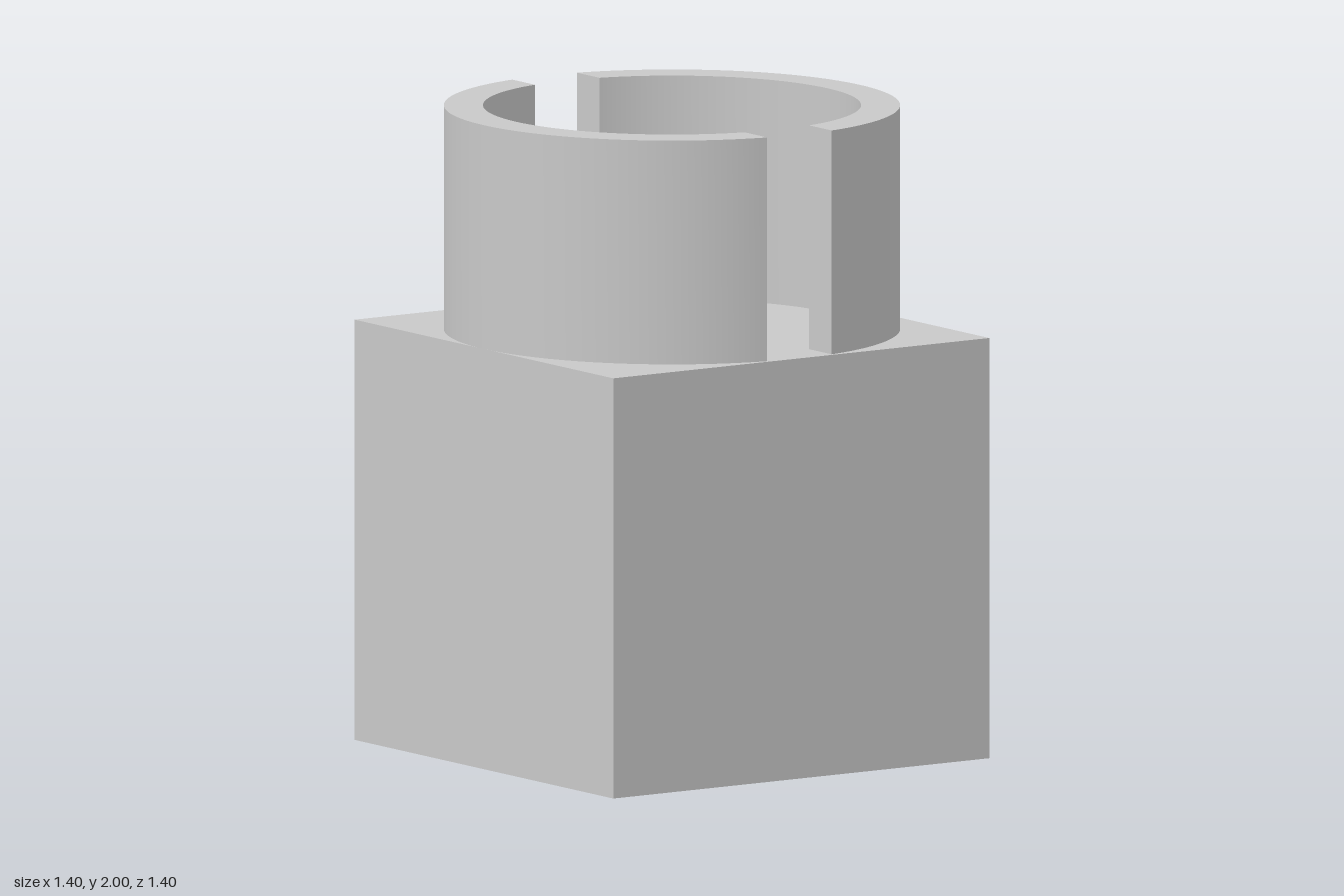
import * as THREE from 'three';
import { toCreasedNormals } from 'three/addons/utils/BufferGeometryUtils.js';

const HALF = 0.7;      // half width of the block, and outer radius of the collar
const INNER = 0.58;    // inner radius of the collar
const SLOT = 0.12;     // half width of the slots
const DEPTH = 0.17;    // depth of the rear groove
const BLOCK_TOP = 1.305;
const TOP = 2;

export function createModel() {
  const model = new THREE.Group();
  const grey = new THREE.MeshStandardMaterial({ color: 0xc8c8c8 });
  grey.name = 'light grey';
  grey.side = THREE.DoubleSide;

  const add = (name, geometry, y = 0) => {
    const mesh = new THREE.Mesh(geometry, grey);
    mesh.name = name;
    mesh.position.y = y;
    model.add(mesh);
    return mesh;
  };
  // Plan shapes are drawn with the back at +y, then laid flat.
  const extrudeUp = (shape, height) => toCreasedNormals(
    new THREE.ExtrudeGeometry(shape, { depth: height, bevelEnabled: false, curveSegments: 64 })
      .rotateX(-Math.PI / 2), 0.5);
  const flat = (shape) => new THREE.ShapeGeometry(shape, 24).rotateX(-Math.PI / 2);
  const polygon = (points) => new THREE.Shape(points.map(([x, y]) => new THREE.Vector2(x, y)));

  // Square block with a vertical groove in its back
  const block = polygon([
    [-HALF, -HALF], [HALF, -HALF], [HALF, HALF], [SLOT, HALF],
    [SLOT, HALF - DEPTH], [-SLOT, HALF - DEPTH], [-SLOT, HALF], [-HALF, HALF],
  ]);
  add('block', extrudeUp(block, BLOCK_TOP));

  // Thin sheets closing the groove at the bottom and the top
  add('grooveFloor', flat(polygon([
    [-SLOT, HALF - DEPTH], [SLOT, HALF - DEPTH], [SLOT, HALF], [-SLOT, HALF],
  ])));
  const outerGap = Math.asin(SLOT / HALF);
  const cap = new THREE.Shape();
  cap.moveTo(-SLOT, HALF - DEPTH);
  cap.lineTo(SLOT, HALF - DEPTH);
  cap.absarc(0, 0, HALF, Math.PI / 2 - outerGap, Math.PI / 2 + outerGap, false);
  cap.closePath();
  add('grooveCap', flat(cap), BLOCK_TOP);

  // Two halves of the collar, parted by parallel slots at front and back
  const outerEnd = Math.PI / 2 - outerGap;
  const innerEnd = Math.PI / 2 - Math.asin(SLOT / INNER);
  const half = new THREE.Shape();
  half.absarc(0, 0, HALF, -outerEnd, outerEnd, false);
  half.absarc(0, 0, INNER, innerEnd, -innerEnd, true);
  half.closePath();
  const collar = extrudeUp(half, TOP - BLOCK_TOP);
  add('leftCollarHalf', collar, BLOCK_TOP);
  add('rightCollarHalf', collar, BLOCK_TOP).rotation.y = Math.PI;

  return model;
}
